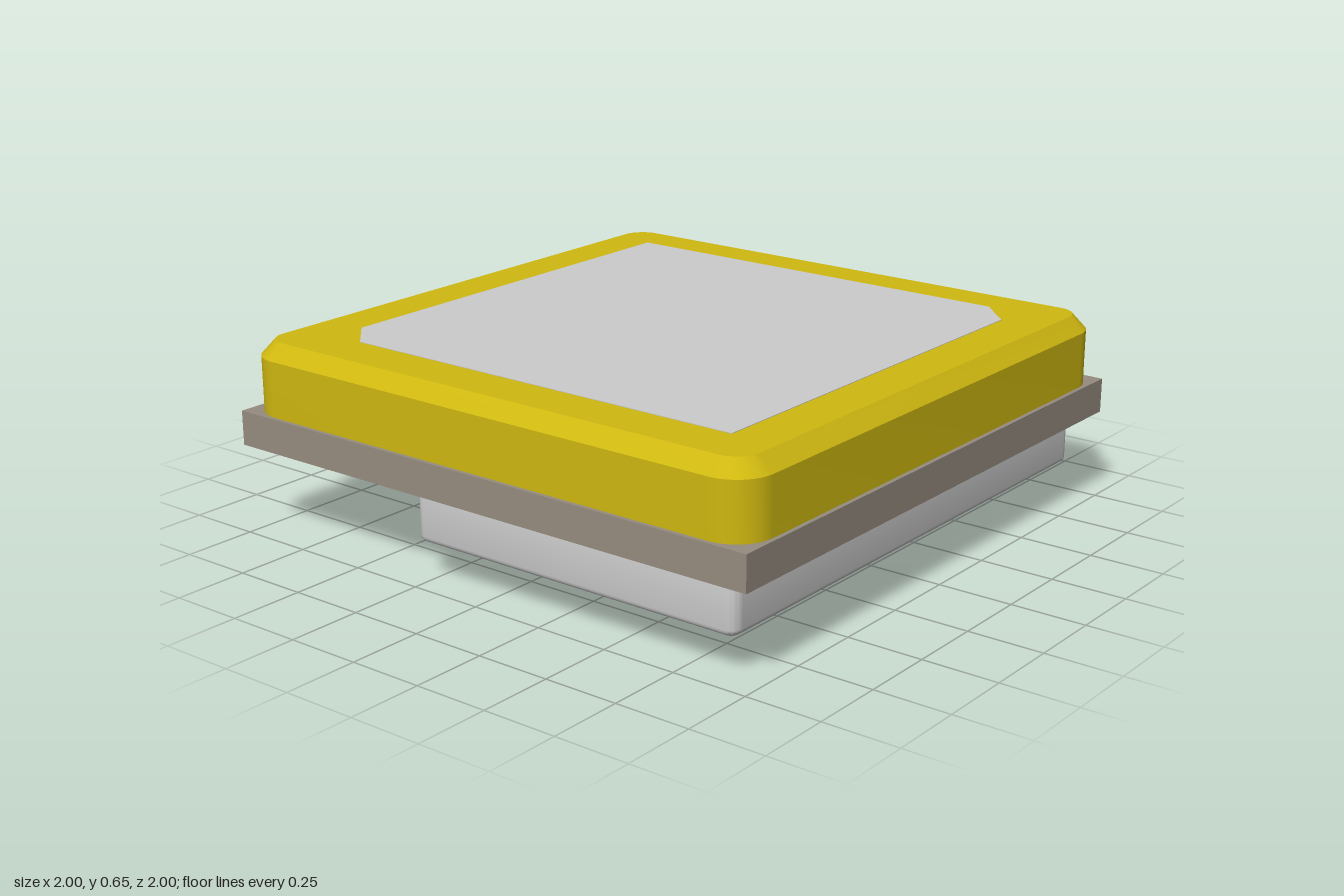
import * as THREE from 'three';
import { toCreasedNormals } from 'three/addons/utils/BufferGeometryUtils.js';

const mat = (color) => new THREE.MeshStandardMaterial({ color });
const grey = mat(0xcccccc);
const gold = mat(0xcfb810);
const boardBrown = mat(0x968c80);
const dark = mat(0x6d6d6d);
const midGrey = mat(0x8a8a8a);

function add(parent, name, geometry, material) {
  const mesh = new THREE.Mesh(geometry, material);
  mesh.name = name;
  parent.add(mesh);
  return mesh;
}

// Box given by its limits on each axis
function box(x0, x1, y0, y1, z0, z1) {
  return new THREE.BoxGeometry(x1 - x0, y1 - y0, z1 - z0)
    .translate((x0 + x1) / 2, (y0 + y1) / 2, (z0 + z1) / 2);
}

// Rounded rectangle in plan: shape x = x, shape y = z
function roundedRect(x0, x1, z0, z1, r) {
  const s = new THREE.Shape();
  s.absarc(x1 - r, z1 - r, r, 0, Math.PI / 2);
  s.absarc(x0 + r, z1 - r, r, Math.PI / 2, Math.PI);
  s.absarc(x0 + r, z0 + r, r, Math.PI, Math.PI * 1.5);
  s.absarc(x1 - r, z0 + r, r, Math.PI * 1.5, Math.PI * 2);
  s.closePath();
  return s;
}

function polygon(points) {
  return new THREE.Shape(points.map(([x, z]) => new THREE.Vector2(x, z)));
}

// Plan shape extruded vertically between y0 and y1, with bevelled rims
function slab(shape, y0, y1, bevel = 0, segments = 1, bevelHeight = bevel) {
  const g = new THREE.ExtrudeGeometry(shape, {
    depth: y1 - y0 - 2 * bevelHeight,
    bevelEnabled: bevel > 0,
    bevelSize: bevel,
    bevelThickness: bevelHeight,
    bevelSegments: segments,
    curveSegments: 8,
  });
  g.rotateX(Math.PI / 2).translate(0, y1 - bevelHeight, 0);
  return toCreasedNormals(g, 0.55);
}

function createConnector() {
  const g = new THREE.Group();
  g.name = 'connector';
  const [x0, x1, w] = [-0.98, -0.62, 0.335];
  // Shell with a socket opening outwards
  add(g, 'connectorBack', box(-0.7, x1, 0, 0.3, -w, w), grey);
  add(g, 'connectorFloor', box(x0, -0.7, 0, 0.04, -w, w), grey);
  add(g, 'connectorRoof', box(x0, -0.7, 0.26, 0.3, -w, w), grey);
  for (const s of [-1, 1]) {
    const wall = box(x0, -0.7, 0.04, 0.26, -0.03, 0.03);
    add(g, 'connectorWall', wall, grey).position.z = s * (w - 0.03);
  }
  // Raised tongue inside the socket
  add(g, 'connectorTongue', box(x0 + 0.01, -0.7, 0.04, 0.13, -0.21, 0.21), grey);
  return g;
}

function createChip() {
  const g = new THREE.Group();
  g.name = 'sensorChip';
  const half = 0.23;
  add(g, 'chipBody', box(-half, half, 0.205, 0.3, -half, half), dark);
  // Four solder pads on each side
  for (let side = 0; side < 4; side++) {
    for (let i = 0; i < 4; i++) {
      const t = (i - 1.5) * 0.1;
      const pad = box(half - 0.03, half + 0.05, 0.275, 0.302, t - 0.027, t + 0.027);
      add(g, 'chipPad', pad.rotateY(side * Math.PI / 2), boardBrown);
    }
  }
  // Orientation dot
  const dot = new THREE.CylinderGeometry(0.035, 0.035, 0.01, 20);
  add(g, 'chipDot', dot, midGrey).position.set(-0.16, 0.204, 0.14);
  g.position.set(-0.66, 0, -0.68);
  return g;
}

export function createModel() {
  const model = new THREE.Group();
  model.name = 'antennaModule';

  add(model, 'circuitBoard', box(-1, 1, 0.3, 0.415, -1, 1), boardBrown);

  // Ceramic block: chamfered top rim, lower rim sunk in the board
  add(model, 'ceramicBlock',
    slab(roundedRect(-0.94, 0.94, -0.94, 0.94, 0.08), 0.35, 0.65, 0.046, 1, 0.05), gold);

  // Metal patch with two opposite corners cut
  add(model, 'metalPatch', slab(polygon([
    [-0.787, -0.8], [0.67, -0.8], [0.785, -0.685], [0.785, 0.78],
    [-0.675, 0.78], [-0.787, 0.665],
  ]), 0.64, 0.652), grey);

  // Shielding can below the board with a dark underside
  add(model, 'shieldCan',
    slab(roundedRect(-0.275, 0.9, -0.925, 0.925, 0.02), 0.125, 0.33, 0.02, 4), grey);
  add(model, 'shieldUnderside',
    slab(roundedRect(-0.277, 0.902, -0.927, 0.927, 0.02), 0.1235, 0.13), dark);

  // Raised pair of axis arrows on the underside
  const [cx, cz, w, head] = [-0.02, 0.22, 0.035, 0.16];
  add(model, 'axisArrows', slab(polygon([
    [cx - w, cz + w], [0.46, cz + w], [0.46, cz + head], [0.66, cz],
    [0.46, cz - head], [0.46, cz - w], [cx + w, cz - w], [cx + w, -0.22],
    [cx + head, -0.22], [cx, -0.42], [cx - head, -0.22], [cx - w, -0.22],
  ]), 0.112, 0.126), midGrey);

  model.add(createConnector(), createChip());
  return model;
}
